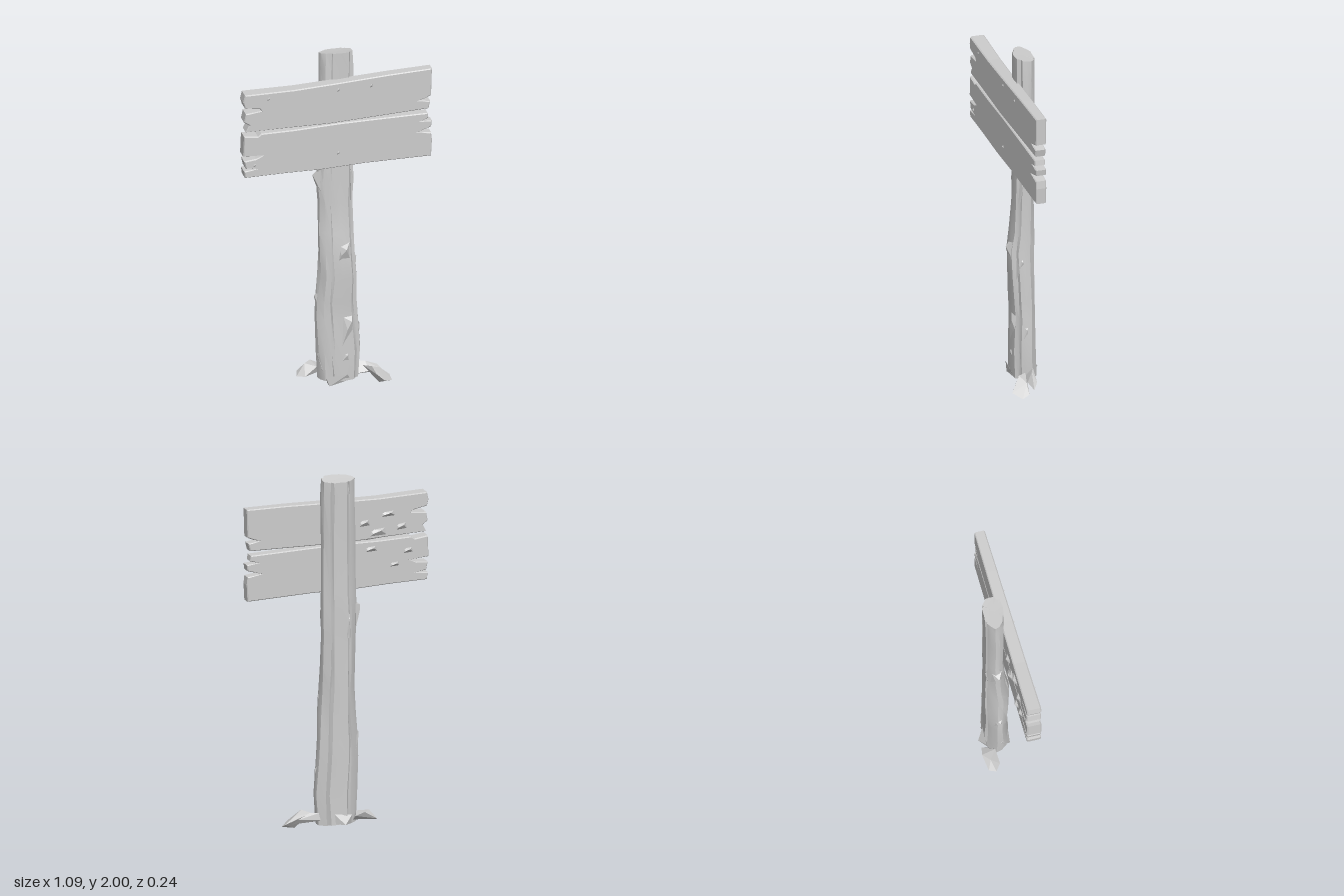
import * as THREE from 'three';
import { toCreasedNormals } from 'three/addons/utils/BufferGeometryUtils.js';
import { ConvexGeometry } from 'three/addons/geometries/ConvexGeometry.js';

const wood = new THREE.MeshStandardMaterial({ color: 0xcccccc, side: THREE.DoubleSide });
wood.name = 'weathered wood';

function add(group, name, geometry) {
  const mesh = new THREE.Mesh(geometry, wood);
  mesh.name = name;
  group.add(mesh);
}

function seeded(seed) {
  return () => (seed = (seed * 16807) % 2147483647) / 2147483647 - 0.5;
}

// Post: one grooved outline, fitted to the extents of each ring [y, x0, x1, z0, z1]
function postGeometry() {
  const outline = [[1, 0.5], [0.97, 0.72], [0.88, 0.78], [0.82, 0.95], [0.58, 1], [0.35, 0.97],
    [0.31, 0.9], [0.15, 0.84], [0.03, 0.62], [0, 0.4], [0.1, 0.2], [0.22, 0.05], [0.26, 0.13],
    [0.31, 0], [0.5, 0.02], [0.71, 0], [0.76, 0.12], [0.81, 0.04], [0.97, 0.28]];
  const rings = [
    [0.03, -0.09, 0.14, -0.085, 0.05], [0.2, -0.1, 0.15, -0.08, 0.055],
    [0.4, -0.105, 0.135, -0.08, 0.045], [0.5, -0.105, 0.13, -0.08, 0.05],
    [0.65, -0.09, 0.125, -0.08, 0.058], [0.8, -0.09, 0.115, -0.08, 0.062],
    [0.92, -0.09, 0.11, -0.08, 0.045], [1.1, -0.09, 0.108, -0.08, 0.032],
    [1.22, -0.1, 0.112, -0.082, 0.033], [1.35, -0.09, 0.11, -0.08, 0.026],
    [1.65, -0.085, 0.11, -0.077, 0.028], [1.9, -0.083, 0.11, -0.08, 0.03],
    [1.99, -0.08, 0.108, -0.08, 0.03]];
  const rnd = seeded(77), n = outline.length, pos = [], index = [];
  rings.forEach(([y, x0, x1, z0, z1], j) => outline.forEach(([u, v]) => {
    const slope = j === rings.length - 1 ? (v - 0.4) * 0.018 : 0;
    pos.push(x0 + (x1 - x0) * u + rnd() * 0.007, y + slope, z0 + (z1 - z0) * v + rnd() * 0.006);
  }));
  for (let j = 0; j < rings.length - 1; j++) for (let i = 0; i < n; i++) {
    const k = (i + 1) % n, a = j * n, b = a + n;
    index.push(a + i, b + i, b + k, a + i, b + k, a + k);
  }
  // end caps
  const top = (rings.length - 1) * n, c = pos.length / 3;
  pos.push(0.02, 1.99, -0.025, 0.02, 0.03, -0.02);
  for (let i = 0; i < n; i++) {
    const k = (i + 1) % n;
    index.push(c, top + k, top + i, c + 1, i, k);
  }
  const g = new THREE.BufferGeometry();
  g.setAttribute('position', new THREE.Float32BufferAttribute(pos, 3));
  g.setIndex(index);
  return toCreasedNormals(g, 0.55);
}

// Board: notched outline, extruded, then sheared so its right end sits further back and thinner
function boardGeometry(points) {
  const g = new THREE.ExtrudeGeometry(new THREE.Shape(points.map(p => new THREE.Vector2(...p))), {
    depth: 0.058, bevelEnabled: true, bevelThickness: 0.006, bevelSize: 0.005, bevelOffset: -0.005, bevelSegments: 1 });
  g.translate(0, 0, -0.029);
  const p = g.attributes.position;
  for (let i = 0; i < p.count; i++) {
    const x = p.getX(i);
    p.setZ(i, 0.047 - 0.048 * x + p.getZ(i) * (1 - 0.3 * x));
  }
  g.computeVertexNormals();
  return g;
}

// Broken chip: convex hull of a few corners
const chip = pts => new ConvexGeometry(pts.map(p => new THREE.Vector3(...p)));

// Splinter: slim wedge at [x, y, z], w x h, standing out by d along angle a around the post
function splinter([x, y, z, w, h, d, a]) {
  const g = chip([[-w / 2, -h / 2, -0.012], [w / 2, -h * 0.35, -0.012], [w * 0.4, h / 2, -0.012],
    [-w * 0.35, h * 0.4, -0.012], [w * 0.1, h * 0.28, d], [-w * 0.2, h * 0.05, d * 0.6]]);
  return g.rotateY(a).translate(x, y, z);
}

export function createModel() {
  const model = new THREE.Group();
  model.name = 'wooden signpost';
  add(model, 'post', postGeometry());

  add(model, 'upperBoard', boardGeometry([
    [-0.53, 1.62], [-0.3, 1.615], [-0.05, 1.608], [0.2, 1.614], [0.52, 1.622], [0.53, 1.665],
    [0.46, 1.675], [0.5, 1.685], [0.535, 1.7], [0.54, 1.86], [0.3, 1.856], [0, 1.845],
    [-0.25, 1.838], [-0.535, 1.843], [-0.545, 1.8], [-0.535, 1.765], [-0.45, 1.75],
    [-0.44, 1.738], [-0.53, 1.73], [-0.54, 1.68], [-0.51, 1.66]]));
  add(model, 'lowerBoard', boardGeometry([
    [-0.535, 1.345], [-0.3, 1.343], [-0.1, 1.337], [0.15, 1.342], [0.535, 1.335], [0.54, 1.43],
    [0.535, 1.475], [0.45, 1.485], [0.535, 1.51], [0.54, 1.545], [0.47, 1.55], [0.52, 1.565],
    [0.515, 1.595], [0.2, 1.6], [0, 1.602], [-0.25, 1.597], [-0.44, 1.6], [-0.46, 1.585],
    [-0.54, 1.595], [-0.545, 1.475], [-0.43, 1.468], [-0.47, 1.452], [-0.54, 1.445], [-0.53, 1.4],
    [-0.46, 1.392], [-0.54, 1.385]]));

  // bark lifting off the post
  const L = -Math.PI / 2, R = Math.PI / 2;
  const bark = [[-0.092, 1.22, -0.03, 0.07, 0.14, 0.028, L], [-0.095, 0.5, -0.02, 0.06, 0.12, 0.018, L],
    [0.04, 0.79, 0.055, 0.09, 0.15, 0.026, 0], [0.07, 0.33, 0.045, 0.08, 0.2, 0.018, 0.4],
    [0.1, 0.7, 0.01, 0.06, 0.2, 0.022, R], [0.13, 0.28, -0.01, 0.06, 0.22, 0.015, R],
    [0.1, 1.2, -0.01, 0.06, 0.2, 0.012, R], [-0.085, 0.14, -0.01, 0.06, 0.16, 0.012, L],
    [0.05, 0.15, 0.045, 0.07, 0.12, 0.015, 0], [-0.03, 1.1, -0.075, 0.04, 0.3, 0.01, Math.PI]];
  bark.forEach(s => add(model, 'bark', splinter(s)));

  // small splinters on the board faces
  const front = [[0, 1.8], [-0.4, 1.8], [0.19, 1.8], [0, 1.42], [-0.48, 1.41]];
  front.forEach(([x, y]) => add(model, 'boardSplinter',
    splinter([x, y, 0.082 - 0.058 * x, 0.025, 0.04, 0.008, 0])));

  // chips torn off the right half of the boards' back
  const back = [[-0.16, 1.7, 0.09, 0.06], [-0.24, 1.64, 0.14, 0.07], [-0.3, 1.74, 0.12, 0.05],
    [-0.38, 1.66, 0.09, 0.06], [-0.2, 1.55, 0.1, 0.05], [-0.42, 1.52, 0.08, 0.05], [-0.34, 1.45, 0.08, 0.04]];
  back.forEach(([x, y, w, h]) => add(model, 'backChip',
    splinter([x, y, 0.012 - 0.038 * x, w, h, 0.018, Math.PI])));

  // broken chunks at the foot
  add(model, 'rightFootChunk', chip([[-0.2, 0.035, -0.06], [-0.19, 0.05, -0.1], [-0.15, 0.1, -0.08],
    [-0.11, 0.1, -0.12], [-0.06, 0.08, -0.11], [-0.06, 0.05, -0.07], [-0.16, 0.04, -0.03], [-0.09, 0.09, -0.04]]));
  add(model, 'leftFootBranch', chip([[0.1, 0.06, -0.06], [0.1, 0.04, 0], [0.13, 0.1, -0.05],
    [0.18, 0.1, -0.03], [0.25, 0.07, -0.04], [0.28, 0.04, -0.015], [0.2, 0.05, 0]]));
  add(model, 'leftFootChunk', chip([[0.16, 0.09, 0.0], [0.2, 0.1, 0.05], [0.22, 0.06, 0.075],
    [0.26, 0.03, 0.105], [0.31, 0.01, 0.06], [0.305, 0.03, 0.02], [0.24, 0, 0.05], [0.25, 0.075, 0.02]]));
  add(model, 'footFlake', chip([[-0.05, 0.02, 0.03], [0.08, 0.03, 0.04], [-0.04, 0.005, 0.05],
    [0.06, 0.07, 0.06], [-0.06, 0.06, 0.05]]));
  add(model, 'rearFlake', chip([[-0.05, 0.03, -0.07], [0.06, 0.035, -0.07], [0, 0.035, -0.115],
    [0.05, 0.09, -0.08], [-0.05, 0.08, -0.08]]));
  return model;
}
